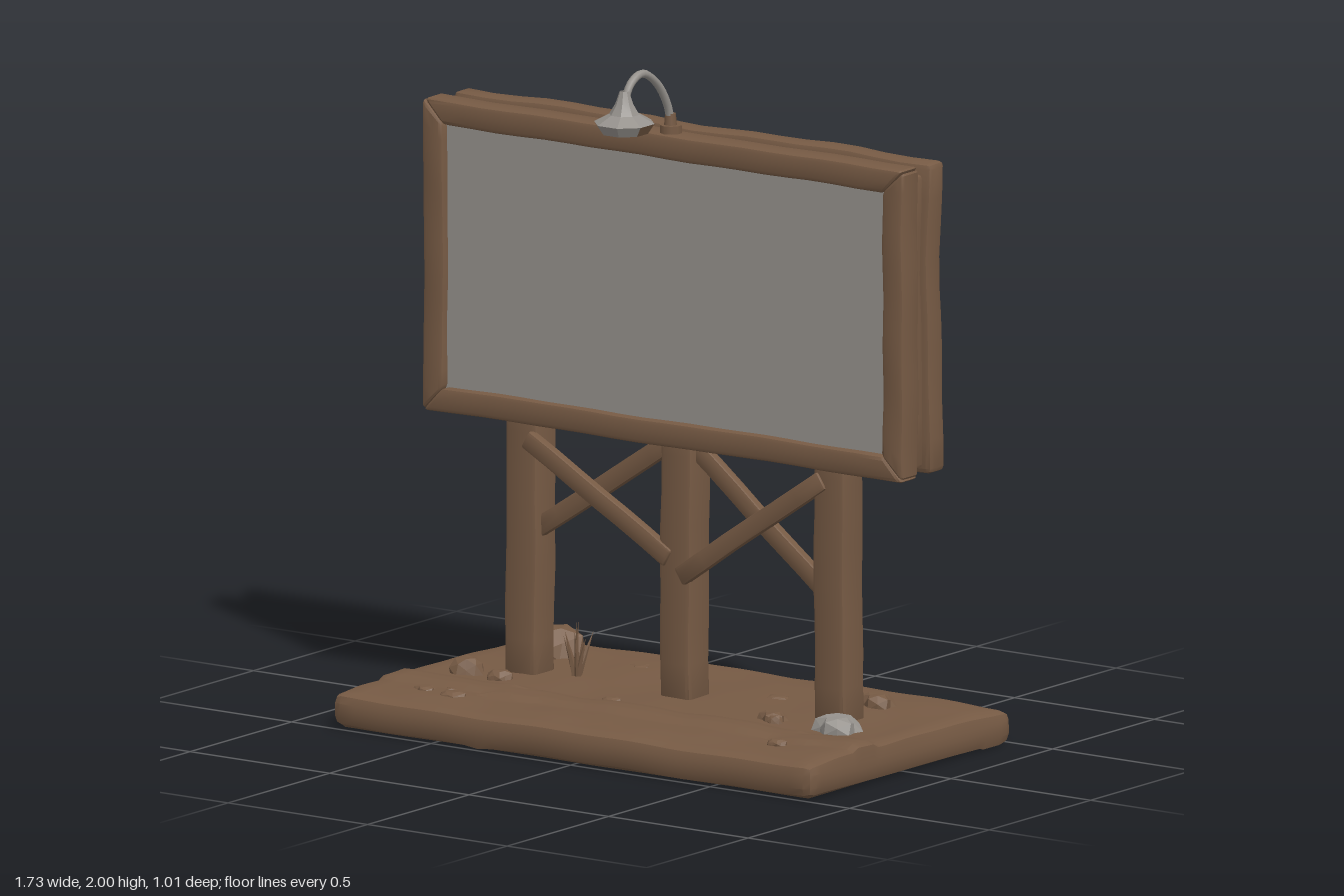
import * as THREE from 'three';
import { toCreasedNormals } from 'three/addons/utils/BufferGeometryUtils.js';

const wood = new THREE.MeshStandardMaterial({ color: 0x765a44, side: THREE.DoubleSide });
const grey = new THREE.MeshStandardMaterial({ color: 0x96928d, side: THREE.DoubleSide });
wood.name = 'brown wood and earth';
grey.name = 'weathered grey';

// smooth repeatable unevenness
const wave = (a, b, c) => Math.sin(a * 7.3 + b * 3.1 + c) * 0.6 + Math.sin(a * 17.9 - b * 11.3 + c * 2.7) * 0.4;

// box with one-step bevels, hand-hewn wobble and an optional extra vertex rule
function hewnBox(w, h, d, { seg = [6, 6, 6], bevel = 0.012, wobble = 0.003, seed = 0, rule } = {}) {
  const size = [w, h, d];
  const geo = new THREE.BoxGeometry(w, h, d, ...seg);
  const pos = geo.attributes.position;
  for (let i = 0; i < pos.count; i++) {
    const p = [pos.getX(i), pos.getY(i), pos.getZ(i)].map((v, k) => {
      const n = seg[k], half = size[k] / 2, j = Math.round((v / size[k] + 0.5) * n);
      if (j === 0) return -half;
      if (j === n) return half;
      return -half + bevel + (j - 1) / (n - 2) * (size[k] - 2 * bevel);
    });
    const v = new THREE.Vector3(...p);
    const core = new THREE.Vector3(...p.map((c, k) => THREE.MathUtils.clamp(c, bevel - size[k] / 2, size[k] / 2 - bevel)));
    v.sub(core).setLength(bevel).add(core);
    const [x, y, z] = v.toArray();
    v.x += wobble * wave(y, z, seed + 1);
    v.y += wobble * wave(x, z, seed + 2);
    v.z += wobble * wave(x, y, seed + 3);
    if (rule) rule(v);
    pos.setXYZ(i, v.x, v.y, v.z);
  }
  return toCreasedNormals(geo, 0.5);
}

function rockGeometry(seed) {
  const geo = new THREE.IcosahedronGeometry(1, 1);
  const pos = geo.attributes.position;
  const v = new THREE.Vector3();
  for (let i = 0; i < pos.count; i++) {
    v.fromBufferAttribute(pos, i);
    v.multiplyScalar(1 + 0.16 * Math.sin(v.x * 3.1 + v.y * 2.3 + v.z * 4.7 + seed * 2.1));
    v.y = Math.min(v.y, 0.75);
    pos.setXYZ(i, v.x, v.y, v.z);
  }
  geo.computeVertexNormals();
  return geo;
}

export function createModel() {
  const model = new THREE.Group();
  const add = (name, geo, mat, x = 0, y = 0, z = 0) => {
    const mesh = new THREE.Mesh(geo, mat);
    mesh.name = name;
    mesh.position.set(x, y, z);
    model.add(mesh);
    return mesh;
  };

  // earth slab with a raised track along the front
  add('ground', hewnBox(1.72, 0.1, 1, {
    seg: [36, 4, 40], bevel: 0.03, wobble: 0.004, seed: 4,
    rule: (v) => {
      if (v.y > 0.03) {
        const inset = THREE.MathUtils.smoothstep(0.5 - Math.abs(v.z), 0, 0.15);
        v.y += inset * (0.008 + 0.003 * wave(v.x * 2, v.z * 2, 1));
        if (v.z > 0.17 && v.z < 0.27) v.y += 0.012;
      } else if (v.y < -0.045) v.y = -0.05;
    },
  }), wood, 0, 0.05, 0);

  // posts
  [-0.555, 0, 0.55].forEach((x, i) =>
    add('post', hewnBox(0.11, 0.85, 0.108, { seg: [4, 10, 4], bevel: 0.014, wobble: 0.004, seed: i * 5 }), wood, x, 0.515, -0.065));

  // crossed braces: x1, y1, x2, y2, z
  [
    [-0.53, 0.81, -0.02, 0.52, -0.015], [-0.53, 0.53, -0.02, 0.87, -0.055],
    [0.02, 0.47, 0.53, 0.82, -0.015], [0.02, 0.87, 0.53, 0.47, -0.055],
  ].forEach(([x1, y1, x2, y2, z], i) => {
    const length = Math.hypot(x2 - x1, y2 - y1);
    const brace = add('brace', hewnBox(length, 0.058, 0.034, { seg: [8, 4, 4], bevel: 0.008, wobble: 0.002, seed: i * 3 }),
      wood, (x1 + x2) / 2, (y1 + y2) / 2, z);
    brace.rotation.z = Math.atan2(y2 - y1, x2 - x1);
  });

  // back, middle and front boards
  add('backBoard', hewnBox(1.71, 0.92, 0.076, {
    seg: [20, 12, 4], bevel: 0.016, wobble: 0.005, seed: 9,
    rule: (v) => { v.z += 0.012 * (1 - (v.y / 0.46) ** 2); },
  }), wood, 0, 1.325, -0.132);
  add('middleBoard', hewnBox(1.66, 0.87, 0.07, { seg: [12, 8, 4], wobble: 0.003, seed: 2 }), wood, 0, 1.315, -0.065);
  add('frontBacking', new THREE.BoxGeometry(1.62, 0.82, 0.05), wood, 0, 1.325, -0.01);
  add('displayPanel', new THREE.BoxGeometry(1.6, 0.8, 0.008), grey, 0, 1.327, 0.022);

  // mitred frame bars
  const frameBar = (name, length, x, y, turn) => {
    const width = 0.074;
    const bar = add(name, hewnBox(length, width, 0.088, {
      seg: [20, 4, 4], bevel: 0.013, wobble: 0.0025, seed: turn + length,
      rule: (v) => { v.x *= (length / 2 - (width / 2 - v.y) * 0.95) / (length / 2); },
    }), wood, x, y, 0.007);
    bar.rotation.z = turn;
  };
  frameBar('frameTop', 1.72, 0, 1.752, 0);
  frameBar('frameBottom', 1.72, 0, 0.9, Math.PI);
  frameBar('frameLeft', 0.925, 0.823, 1.326, -Math.PI / 2);
  frameBar('frameRight', 0.925, -0.823, 1.326, Math.PI / 2);

  // lamp mount and curved arm
  add('lampMount', new THREE.CylinderGeometry(0.034, 0.034, 0.028, 10), wood, 0, 1.797, 0.005);
  add('lampSocket', new THREE.CylinderGeometry(0.016, 0.02, 0.05, 8), wood, 0, 1.82, 0.008);
  const arm = new THREE.CatmullRomCurve3([
    [1.8, 0.004], [1.87, 0.022], [1.945, 0.075], [1.987, 0.15], [1.965, 0.205], [1.915, 0.235],
  ].map(([y, z]) => new THREE.Vector3(0, y, z)));
  add('lampArm', new THREE.TubeGeometry(arm, 24, 0.012, 8), grey);

  // faceted lamp shade, its lower lip grey in front and brown around the rest
  const lathe = (pts, segments, start, length) =>
    toCreasedNormals(new THREE.LatheGeometry(pts.map((p) => new THREE.Vector2(...p)), segments, start, length), 0.3);
  const a = Math.PI * 3 / 8;
  const lip = [[0.07, 1.827], [0.09, 1.857]];
  add('shadeCap', lathe([[0.09, 1.857], [0.045, 1.882], [0.027, 1.912], [0.014, 1.95]], 8, -a, Math.PI * 2), grey, 0, 0, 0.235);
  add('shadeLipFront', lathe(lip, 3, -a, 2 * a), grey, 0, 0, 0.235);
  add('shadeLipRest', lathe(lip, 5, a, Math.PI * 2 - 2 * a), wood, 0, 0, 0.235);
  add('shadeInside', lathe([[0, 1.87], [0.04, 1.865], [0.07, 1.827]], 8, -a, Math.PI * 2), wood, 0, 0, 0.235);

  // rocks: x, z, radius, height above the ground
  [
    [-0.66, -0.28, 0.12, 0.085], [0.54, -0.27, 0.053, 0.04], [-0.69, 0.065, 0.055, 0.05], [-0.56, 0.08, 0.04, 0.03],
    [0.41, 0.065, 0.045, 0.03], [0.435, 0.09, 0.025, 0.025], [-0.535, 0.345, 0.04, 0.018], [-0.65, 0.32, 0.035, 0.016],
    [-0.58, 0.29, 0.02, 0.012], [0.605, 0.315, 0.03, 0.016], [-0.33, -0.3, 0.035, 0.01], [0.24, -0.19, 0.035, 0.01],
    [-0.13, 0.12, 0.03, 0.012], [0.64, 0.065, 0.07, 0.045],
  ].forEach(([x, z, r, h], i, list) => {
    const last = i === list.length - 1;
    const rock = add(last ? 'greyRock' : 'rock', rockGeometry(i), last ? grey : wood, x, 0.104, z);
    rock.scale.set(r, h / 0.75, r * 0.88);
  });

  // tuft of pointed leaves
  const tuft = new THREE.Group();
  tuft.name = 'grassTuft';
  tuft.position.set(-0.4, 0.1, -0.08);
  for (let i = 0; i < 7; i++) {
    const height = i === 0 ? 0.17 : 0.13 + 0.02 * (i % 3);
    const geo = new THREE.ConeGeometry(0.014, height, 4);
    geo.translate(0, height / 2, 0);
    const leaf = new THREE.Mesh(toCreasedNormals(geo, 0.3), wood);
    leaf.name = 'leaf';
    leaf.scale.z = 0.5;
    leaf.rotation.set(0, i * Math.PI / 3, i === 0 ? 0 : -0.25 - 0.12 * (i % 2), 'YXZ');
    tuft.add(leaf);
  }
  model.add(tuft);
  return model;
}
